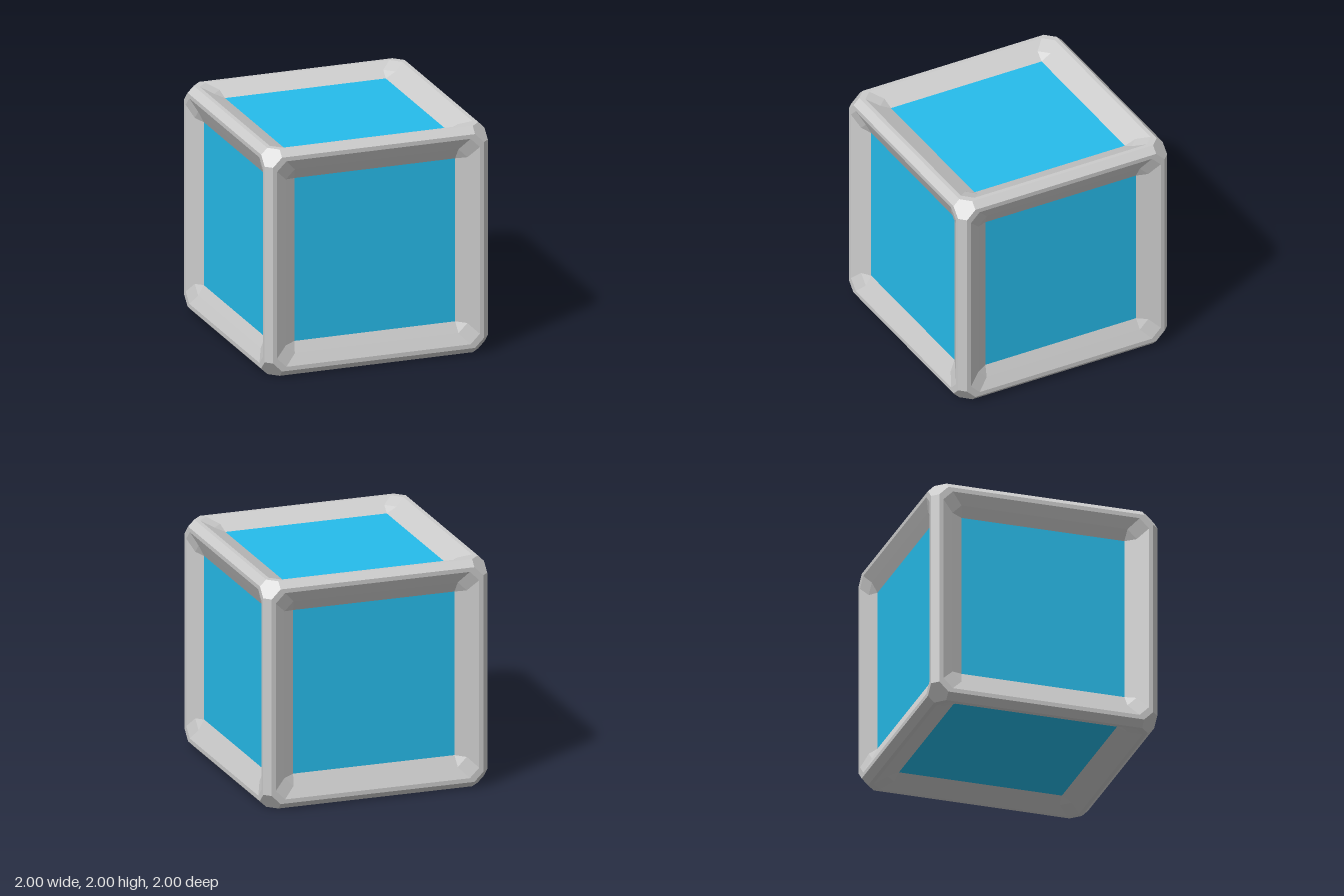
import * as THREE from 'three';

const V = (x, y, z) => new THREE.Vector3(x, y, z);
const SIGNS = [1, -1];

// Flat-sided geometry from convex polygons, each wound to face away from the cube's centre
function polygons(list) {
  const out = [];
  for (const p of list) {
    for (let i = 1; i < p.length - 1; i++) {
      const tri = [p[0], p[i], p[i + 1]];
      const n = tri[1].clone().sub(tri[0]).cross(tri[2].clone().sub(tri[0]));
      if (n.dot(tri[0]) < 0) tri.reverse();
      tri.forEach((v) => out.push(v.x, v.y, v.z));
    }
  }
  const g = new THREE.BufferGeometry();
  g.setAttribute('position', new THREE.Float32BufferAttribute(out, 3));
  g.computeVertexNormals();
  return g;
}

// Eight-point ring: a square with sides at a, corners cut back to b
function ring(a, b, z) {
  return [[a, b], [b, a], [-b, a], [-a, b], [-a, -b], [-b, -a], [b, -a], [a, -b]]
    .map(([x, y]) => V(x, y, z));
}

export function createModel() {
  const R = 1, C = 0.945, K = 0.865; // outer face, chamfer line, corner cut
  const PANEL = 0.72, DEPTH = 0.91;  // recessed panel half-width and plane
  const grey = new THREE.MeshStandardMaterial({ color: 0xcccccc, flatShading: true });
  const blue = new THREE.MeshStandardMaterial({ color: 0x26bceb });

  const model = new THREE.Group();
  const cube = new THREE.Group();
  cube.name = 'cube';
  cube.position.y = 1;
  model.add(cube);
  const add = (name, geometry, material, parent = cube) => {
    const mesh = new THREE.Mesh(geometry, material);
    mesh.name = name;
    parent.add(mesh);
  };

  // Flat rim and sloped bevel around each panel
  const rings = [
    ring(C, K, R),
    ring(0.908, 0.825, R),
    ring(0.813, 0.733, 0.955),
    ring(PANEL, PANEL, DEPTH),
  ];
  const rim = [];
  for (let r = 0; r < 3; r++) {
    for (let i = 0; i < 8; i++) {
      const j = (i + 1) % 8;
      rim.push([rings[r][i], rings[r][j], rings[r + 1][j], rings[r + 1][i]]);
    }
  }
  // Triangles collapsed at the panel corners are dropped
  const rimGeometry = polygons(rim.map((q) => q.filter((v, i) => !v.equals(q[(i + 1) % q.length]))));
  const panelGeometry = new THREE.PlaneGeometry(PANEL * 2, PANEL * 2).translate(0, 0, DEPTH);

  const H = Math.PI / 2;
  const sides = {
    front: [0, 0], left: [0, H], back: [0, 2 * H], right: [0, -H], top: [-H, 0], bottom: [H, 0],
  };
  for (const [name, [rx, ry]] of Object.entries(sides)) {
    const side = new THREE.Group();
    side.name = name + 'Side';
    side.rotation.set(rx, ry, 0);
    add(name + 'Rim', rimGeometry, grey, side);
    add(name + 'Panel', panelGeometry, blue, side);
    cube.add(side);
  }

  // Chamfered edges, four along each axis
  const edges = [];
  const turns = [(a, b, c) => V(a, b, c), (a, b, c) => V(c, a, b), (a, b, c) => V(b, c, a)];
  for (const turn of turns) {
    for (const s of SIGNS) for (const t of SIGNS) {
      edges.push([turn(-K, s * R, t * C), turn(K, s * R, t * C), turn(K, s * C, t * R), turn(-K, s * C, t * R)]);
    }
  }
  add('chamferedEdges', polygons(edges), grey);

  // Six-sided cut corners
  const corners = [];
  for (const x of SIGNS) for (const y of SIGNS) for (const z of SIGNS) {
    corners.push([[K, C, R], [C, K, R], [R, K, C], [R, C, K], [C, R, K], [K, R, C]]
      .map(([a, b, c]) => V(a * x, b * y, c * z)));
  }
  add('cutCorners', polygons(corners), grey);

  return model;
}
